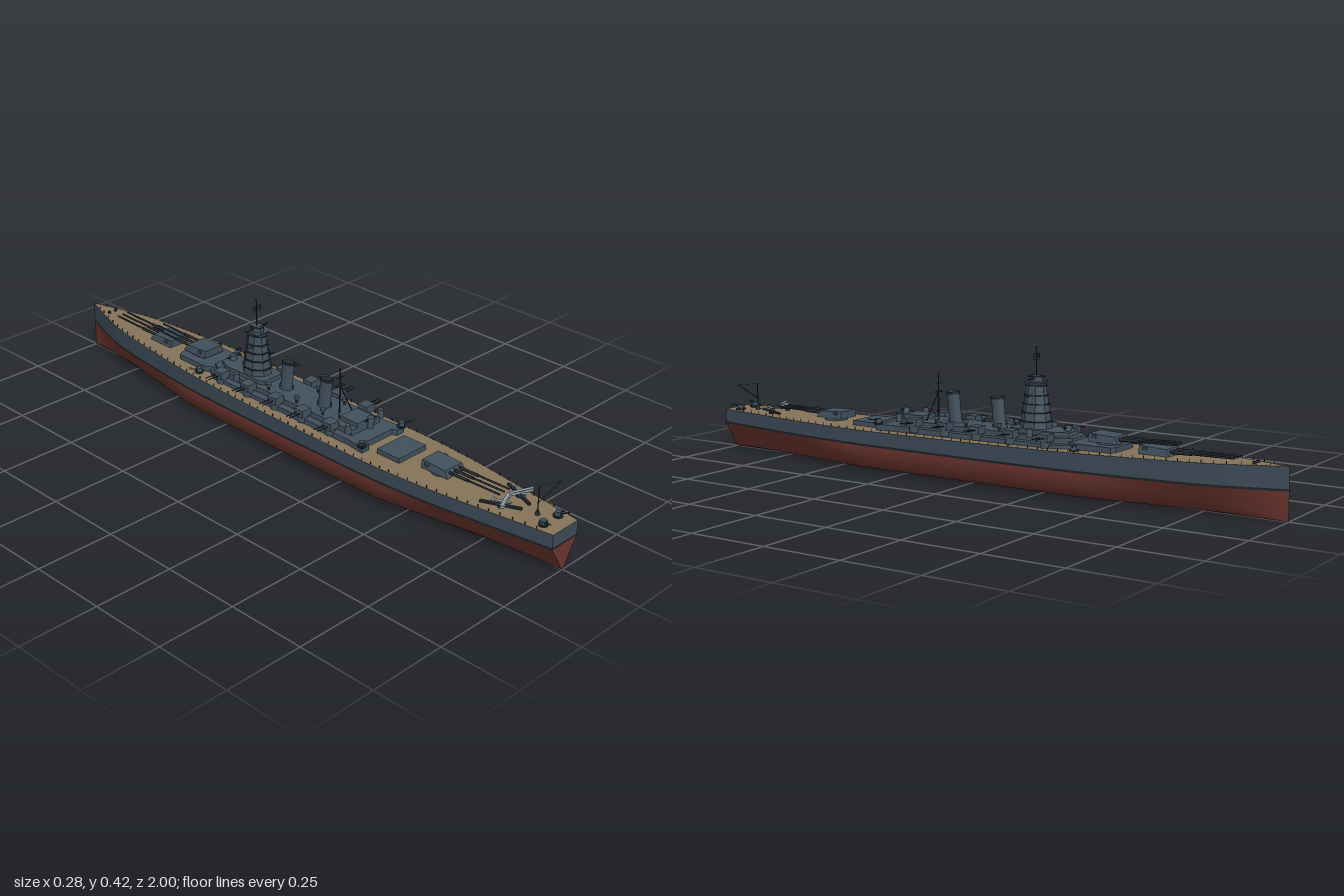
import * as THREE from 'three';

const std = (color, extra = {}) => new THREE.MeshStandardMaterial({ color, ...extra });
const grey = std(0x41505d, { flatShading: true });
const dark = std(0x23292f);
const light = std(0x8b959c);
const open = { side: THREE.DoubleSide };
const red = std(0x6b342e, open), hullGrey = std(0x3c4a57, open);
const stripe = std(0x1d2328, open), wood = std(0x85735a, open);

// Hull half breadths at eleven equally spaced stations from bow to stern
const breadths = [0, 0.063, 0.092, 0.111, 0.119, 0.122, 0.122, 0.121, 0.108, 0.082, 0.054];
const plan = new THREE.SplineCurve(breadths.map((w, i) => new THREE.Vector2(-1 + i * 0.2, w)));
const deckY = z => 0.134 + 0.022 * Math.pow(Math.max(0, (0.4 - z) / 1.4), 1.4);
const fullSection = [[0, 0.002], [0.65, 0.009], [0.83, 0.02], [0.95, 0.042], [1, 0.068], [1, 0.086]];
const veeSection = [[0, 0.002], [0.13, 0.008], [0.27, 0.022], [0.5, 0.045], [0.78, 0.068], [1, 0.086]];

function add(parent, name, geometry, material, x = 0, y = 0, z = 0) {
  const m = new THREE.Mesh(geometry, material);
  m.name = name;
  m.position.set(x, y, z);
  parent.add(m);
  return m;
}
const box = (p, name, w, h, d, x, y, z, mat = grey) =>
  add(p, name, new THREE.BoxGeometry(w, h, d), mat, x, y + h / 2, z);
const drum = (p, name, r0, r1, h, x, y, z, mat = grey, n = 16) =>
  add(p, name, new THREE.CylinderGeometry(r1, r0, h, n), mat, x, y + h / 2, z);

// Straight round bar between two points
function rod(p, name, a, b, r, mat = dark) {
  const A = new THREE.Vector3(...a), B = new THREE.Vector3(...b);
  const m = add(p, name, new THREE.CylinderGeometry(r, r, A.distanceTo(B), 6), mat);
  m.position.copy(A).lerp(B, 0.5);
  m.quaternion.setFromUnitVectors(new THREE.Vector3(0, 1, 0), B.sub(A).normalize());
  return m;
}

// Surface through rows of points
function loft(rows) {
  const n = rows[0].length, index = [];
  for (let i = 0; i < rows.length - 1; i++)
    for (let j = 0; j < n - 1; j++) {
      const a = i * n + j, b = a + n;
      index.push(a, a + 1, b, b, a + 1, b + 1);
    }
  const g = new THREE.BufferGeometry();
  g.setAttribute('position', new THREE.Float32BufferAttribute(rows.flat(2), 3));
  g.setIndex(index);
  g.computeVertexNormals();
  return g;
}

// Upright prism from a mirrored outline of [x, z] points, listed bow to stern
function prism(p, name, half, y0, y1, mat = grey) {
  const pts = [...half, ...half.map(([x, z]) => [-x, z]).reverse()];
  const shape = new THREE.Shape(pts.map(([x, z]) => new THREE.Vector2(x, -z)));
  const g = new THREE.ExtrudeGeometry(shape, { depth: y1 - y0, bevelEnabled: false });
  return add(p, name, g.rotateX(-Math.PI / 2), mat, 0, y0, 0);
}

function buildHull(root) {
  const hull = new THREE.Group();
  hull.name = 'hull';
  root.add(hull);
  const stations = Array.from({ length: 61 }, (_, i) => {
    const s = plan.getPoint(i / 60), z = s.x, w = Math.max(0, s.y);
    const k = Math.min(1, Math.max(0, (Math.abs(z) - 0.42) / 0.58));
    const half = fullSection.map(([f, y], j) => [
      w * THREE.MathUtils.lerp(f, veeSection[j][0], k), THREE.MathUtils.lerp(y, veeSection[j][1], k), z]);
    return { z, w, half };
  });
  const mirror = ([x, y, z]) => [-x, y, z];
  const bottom = s => [...s.half.slice(1).reverse(), ...s.half.map(mirror)];
  add(hull, 'lowerHull', loft(stations.map(bottom)), red);
  for (const q of [1, -1]) {
    const side = (a, b) => loft(stations.map(s => [[q * s.w, a(s.z), s.z], [q * s.w, b(s.z), s.z]]));
    add(hull, 'waterlineBand', side(() => 0.086, () => 0.093), stripe);
    add(hull, 'upperSide', side(() => 0.093, deckY), hullGrey);
  }
  add(hull, 'deck', loft(stations.map(s => [[s.w, deckY(s.z), s.z], [-s.w, deckY(s.z), s.z]])), wood);

  // Flat transom in three colours
  const end = stations[60], w = end.w;
  add(hull, 'lowerTransom', loft([end.half, end.half.map(mirror)]), red);
  const plate = (a, b) => loft([[[w, a, 1], [w, b, 1]], [[-w, a, 1], [-w, b, 1]]]);
  add(hull, 'transomBand', plate(0.086, 0.093), stripe);
  add(hull, 'upperTransom', plate(0.093, deckY(1)), hullGrey);

  // Rail posts along the deck edge
  for (let i = 2; i <= 58; i++) {
    const s = plan.getPoint(i / 60);
    for (const q of [1, -1])
      box(hull, 'railPost', 0.0015, 0.009, 0.0015, q * (s.y - 0.003), deckY(s.x), s.x, dark);
  }
}

// Triple turret, barrels towards -z before turning
function mainTurret(root, y, z, turn, reach) {
  const t = new THREE.Group();
  t.name = 'mainTurret';
  t.position.set(0, y, z);
  t.rotation.y = turn;
  root.add(t);
  drum(t, 'barbette', 0.037, 0.037, 0.012, 0, -0.006, 0, grey, 24);
  const g = new THREE.BoxGeometry(0.08, 0.024, 0.098);
  const pos = g.attributes.position;
  for (let i = 0; i < pos.count; i++) {
    if (pos.getY(i) > 0) pos.setX(i, pos.getX(i) * 0.88);
    if (pos.getY(i) > 0 && pos.getZ(i) < 0) pos.setXYZ(i, pos.getX(i), 0.008, -0.038);
  }
  add(t, 'gunhouse', g, grey, 0, 0.018, 0);
  box(t, 'rangefinder', 0.088, 0.007, 0.012, 0, 0.019, 0.028);
  for (const x of [-0.021, 0, 0.021]) {
    rod(t, 'barrelSleeve', [x, 0.017, -0.04], [x, 0.0185, -0.11], 0.005);
    rod(t, 'barrel', [x, 0.0185, -0.1], [x, 0.021, -reach], 0.0032);
  }
}

function secondaryTurret(root, q, z) {
  drum(root, 'secondaryBase', 0.016, 0.016, 0.02, q * 0.077, 0.14, z);
  box(root, 'secondaryGunhouse', 0.037, 0.023, 0.036, q * 0.077, 0.16, z);
  for (const dz of [-0.007, 0.007])
    rod(root, 'secondaryBarrel', [q * 0.09, 0.172, z + dz], [q * 0.138, 0.174, z + dz], 0.0016);
}

function antiAircraftGun(root, x, y, z, turn) {
  const g = new THREE.Group();
  g.name = 'antiAircraftGun';
  g.position.set(x, y, z);
  g.rotation.y = turn;
  root.add(g);
  drum(g, 'gunPlatform', 0.013, 0.015, 0.006, 0, 0, 0, dark);
  box(g, 'gunShield', 0.018, 0.012, 0.016, 0, 0.006, 0);
  for (const dx of [-0.004, 0.004]) rod(g, 'lightBarrel', [dx, 0.013, 0], [dx, 0.018, 0.032], 0.0013);
}

function buildSuperstructure(root) {
  prism(root, 'mainDeckhouse', [[0.045, -0.37], [0.083, -0.3], [0.083, 0.28], [0.09, 0.34], [0.06, 0.34], [0.055, 0.325]], 0.13, 0.153);
  prism(root, 'upperDeckhouse', [[0.04, -0.34], [0.06, -0.3], [0.06, 0.27]], 0.15, 0.17);
  prism(root, 'forwardPlatform', [[0.05, -0.49], [0.065, -0.48], [0.065, -0.36], [0.045, -0.33]], 0.138, 0.161);
  prism(root, 'bridgeBase', [[0.028, -0.32], [0.046, -0.28], [0.046, -0.14], [0.035, -0.12]], 0.165, 0.183);
  box(root, 'aftHatch', 0.116, 0.017, 0.086, 0, 0.132, 0.412);
  box(root, 'aftControlHouse', 0.07, 0.016, 0.07, 0, 0.168, 0.235);
  for (const z of [0.29, -0.3]) {
    drum(root, 'directorPost', 0.01, 0.01, 0.025, 0, 0.165, z);
    drum(root, 'directorHead', 0.013, 0.011, 0.013, 0, 0.187, z);
    rod(root, 'directorArm', [-0.024, 0.194, z], [0.024, 0.194, z], 0.0025);
  }
  for (const q of [1, -1]) {
    for (const z of [-0.27, -0.15, -0.03, 0.085, 0.2]) secondaryTurret(root, q, z);
    antiAircraftGun(root, q * 0.085, 0.152, 0.335, q * 0.9);
    antiAircraftGun(root, q * 0.082, 0.141, -0.37, q * 2.1);
    antiAircraftGun(root, q * 0.032, 0.133, 0.95, q * 0.4);
    for (const z of [-0.09, 0.03, 0.14]) {
      drum(root, 'searchlightPost', 0.004, 0.004, 0.018, q * 0.047, 0.168, z, dark, 8);
      drum(root, 'searchlight', 0.008, 0.008, 0.009, q * 0.047, 0.182, z);
    }
    for (const z of [-0.215, 0.26]) {
      drum(root, 'sideDirector', 0.01, 0.009, 0.026, q * 0.07, 0.165, z + 0.005);
    }
  }
}

function buildTower(root) {
  const tower = new THREE.Group();
  tower.name = 'bridgeTower';
  tower.position.z = -0.19;
  root.add(tower);
  // Each tier: bottom, top, half width, half depth
  const tiers = [[0.165, 0.205, 0.041, 0.048], [0.205, 0.231, 0.037, 0.043], [0.231, 0.256, 0.033, 0.039],
    [0.256, 0.282, 0.029, 0.036], [0.282, 0.311, 0.025, 0.032], [0.311, 0.337, 0.016, 0.024]];
  const tier = (name, y0, y1, w, d, taper, mat) => {
    const m = add(tower, name, new THREE.CylinderGeometry(taper, 1, y1 - y0, 8).rotateY(Math.PI / 8), mat, 0, (y0 + y1) / 2, 0);
    m.scale.set(w / 0.924, 1, d / 0.924);
  };
  for (const [y0, y1, w, d] of tiers) {
    tier('towerTier', y0, y1, w, d, 0.92, grey);
    tier('towerWalkway', y1 - 0.003, y1, w + 0.001, d + 0.001, 1, dark);
  }
  box(tower, 'signalYard', 0.09, 0.003, 0.008, 0, 0.276, 0.01);
  box(tower, 'upperPlatform', 0.05, 0.004, 0.06, 0, 0.316, 0);
  rod(tower, 'towerRangefinder', [-0.045, 0.33, 0], [0.045, 0.33, 0], 0.003);
  drum(tower, 'rangefinderDrum', 0.016, 0.014, 0.012, 0, 0.326, 0);
  rod(tower, 'foremast', [0, 0.335, 0], [0, 0.424, 0], 0.0018);
  drum(tower, 'mastHead', 0.0035, 0.0035, 0.006, 0, 0.419, 0, dark, 8);
  // Lattice aerial
  for (const y of [0.385, 0.394, 0.403]) rod(tower, 'aerialBar', [-0.017, y, 0], [0.017, y, 0], 0.0006);
  for (let i = -3; i <= 3; i++)
    rod(tower, 'aerialUpright', [i * 0.0057, 0.385, 0], [i * 0.0057, 0.403, 0], 0.0006);
}

function buildFunnel(root, z) {
  const f = new THREE.Group();
  f.name = 'funnel';
  f.position.set(0, 0.165, z);
  f.rotation.x = 0.1;
  root.add(f);
  const smooth = std(0x41505d, open);
  const part = (name, r, h, y, mat) => {
    const m = add(f, name, new THREE.CylinderGeometry(r, r, h, 24, 1, name !== 'funnelMouth'), mat, 0, y, 0);
    m.scale.z = 1.3;
  };
  part('funnelCasing', 0.016, 0.1, 0.05, smooth);
  part('funnelCap', 0.0172, 0.008, 0.095, stripe);
  part('funnelMouth', 0.0155, 0.002, 0.094, dark);
  part('funnelCollar', 0.019, 0.012, 0.008, smooth);
}

function buildMainmast(root) {
  rod(root, 'mainmast', [0, 0.165, 0.165], [0, 0.315, 0.165], 0.0022);
  for (const q of [1, -1]) rod(root, 'mastLeg', [q * 0.03, 0.168, 0.19], [0, 0.258, 0.165], 0.0018);
  box(root, 'mastPlatform', 0.028, 0.003, 0.012, 0, 0.257, 0.165, dark);
  rod(root, 'mainYard', [-0.016, 0.285, 0.165], [0.016, 0.285, 0.165], 0.001);
}

function buildStern(root) {
  // Paired catapults, each carrying a small seaplane
  for (const q of [1, -1]) {
    const c = new THREE.Group();
    c.name = 'catapult';
    c.position.set(q * 0.04, 0.134, 0.81);
    c.rotation.y = -q * 0.4;
    root.add(c);
    drum(c, 'catapultPivot', 0.008, 0.008, 0.006, 0, 0, 0, dark);
    box(c, 'catapultRail', 0.009, 0.006, 0.12, 0, 0.005, 0, dark);
    const body = add(c, 'seaplaneBody', new THREE.SphereGeometry(1, 10, 8), light, 0, 0.02, 0.004);
    body.scale.set(0.004, 0.004, 0.03);
    for (const y of [0.018, 0.026]) box(c, 'seaplaneWing', 0.075, 0.001, 0.011, 0, y, 0.012, light);
    box(c, 'seaplaneTail', 0.022, 0.001, 0.006, 0, 0.021, -0.023, light);
    for (const x of [-0.008, 0.008]) rod(c, 'seaplaneFloat', [x, 0.012, -0.012], [x, 0.012, 0.024], 0.0018, light);
  }
  // Aircraft crane
  drum(root, 'craneBase', 0.007, 0.005, 0.012, 0, 0.133, 0.905, dark, 10);
  rod(root, 'cranePost', [0, 0.134, 0.905], [0, 0.222, 0.905], 0.0018);
  rod(root, 'craneJib', [0, 0.172, 0.905], [0.066, 0.222, 0.93], 0.0016);
  rod(root, 'craneCable', [0, 0.221, 0.905], [0.066, 0.222, 0.93], 0.0006);
  // Capstans on the forecastle
  for (const q of [1, -1]) drum(root, 'capstan', 0.005, 0.005, 0.007, q * 0.013, deckY(-0.9), -0.9, dark, 10);
}

export function createModel() {
  const root = new THREE.Group();
  root.name = 'battleship';
  buildHull(root);
  buildSuperstructure(root);
  buildTower(root);
  for (const z of [0.1, -0.062]) buildFunnel(root, z);
  buildMainmast(root);
  mainTurret(root, 0.143, -0.605, 0, 0.24);
  mainTurret(root, 0.161, -0.44, 0, 0.22);
  mainTurret(root, 0.136, 0.57, Math.PI, 0.22);
  buildStern(root);
  return root;
}
